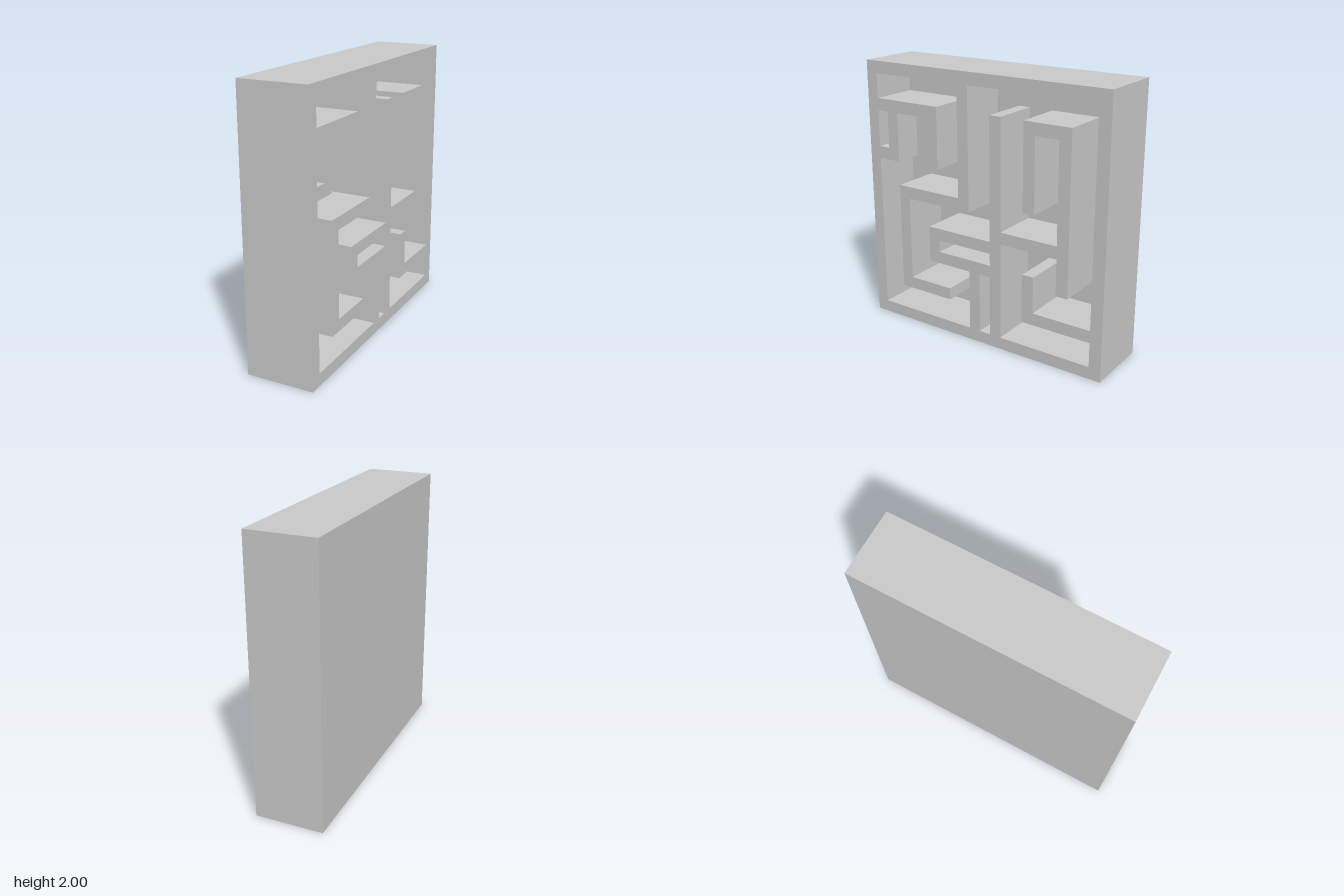
import * as THREE from 'three';

const CELLS = 22;            // grid cells along each side of the square
const CELL = 2 / CELLS;
const THICKNESS = 0.5;
const FLOOR = 0.136;         // thickness of the closed back plate

// Corners of the winding corridor, in grid cells (from the left, from the bottom)
const corridor = [
  [1, 21], [9, 21], [9, 12], [3, 12], [3, 3], [8, 3], [8, 4], [4, 4], [4, 11], [10, 11],
  [10, 21], [21, 21], [21, 4], [16, 4], [16, 7], [15, 7], [15, 3], [21, 3], [21, 1], [13, 1],
  [13, 9], [18, 9], [18, 6], [19, 6], [19, 19], [15, 19], [15, 12], [16, 12], [16, 18], [18, 18],
  [18, 10], [13, 10], [13, 19], [12, 19], [12, 9], [6, 9], [6, 6], [10, 6], [10, 1], [1, 1],
  [1, 14], [3, 14], [3, 18], [5, 18], [5, 14], [7, 14], [7, 19], [1, 19],
];

const rect = (x0, y0, x1, y1) => [[x0, y0], [x1, y0], [x1, y1], [x0, y1]];

// Closed chambers between the walls
const chambers = [rect(1, 15, 2, 18), rect(7, 7, 12, 8), rect(11, 1, 12, 6)];

const toPoints = (cells) =>
  cells.map(([i, j]) => new THREE.Vector2(i * CELL - 1, j * CELL));

export function createModel() {
  const group = new THREE.Group();
  group.name = 'mazePanel';
  const material = new THREE.MeshStandardMaterial({ color: 0xcccccc, flatShading: true });

  // Frame and maze walls: a square pierced by the corridor and chambers
  const outline = new THREE.Shape(toPoints(rect(0, 0, CELLS, CELLS)));
  for (const hole of [corridor, ...chambers]) {
    outline.holes.push(new THREE.Path(toPoints(hole)));
  }
  const wallGeometry = new THREE.ExtrudeGeometry(outline, {
    depth: THICKNESS - FLOOR,
    bevelEnabled: false,
  });
  wallGeometry.rotateY(Math.PI / 2); // openings face +x
  wallGeometry.translate(-THICKNESS / 2 + FLOOR, 0, 0);
  const walls = new THREE.Mesh(wallGeometry, material);
  walls.name = 'mazeWalls';
  group.add(walls);

  // Back plate closing the corridors
  const plate = new THREE.Mesh(new THREE.BoxGeometry(FLOOR, 2, 2), material);
  plate.name = 'backPlate';
  plate.position.set(-THICKNESS / 2 + FLOOR / 2, 1, 0);
  group.add(plate);

  return group;
}
